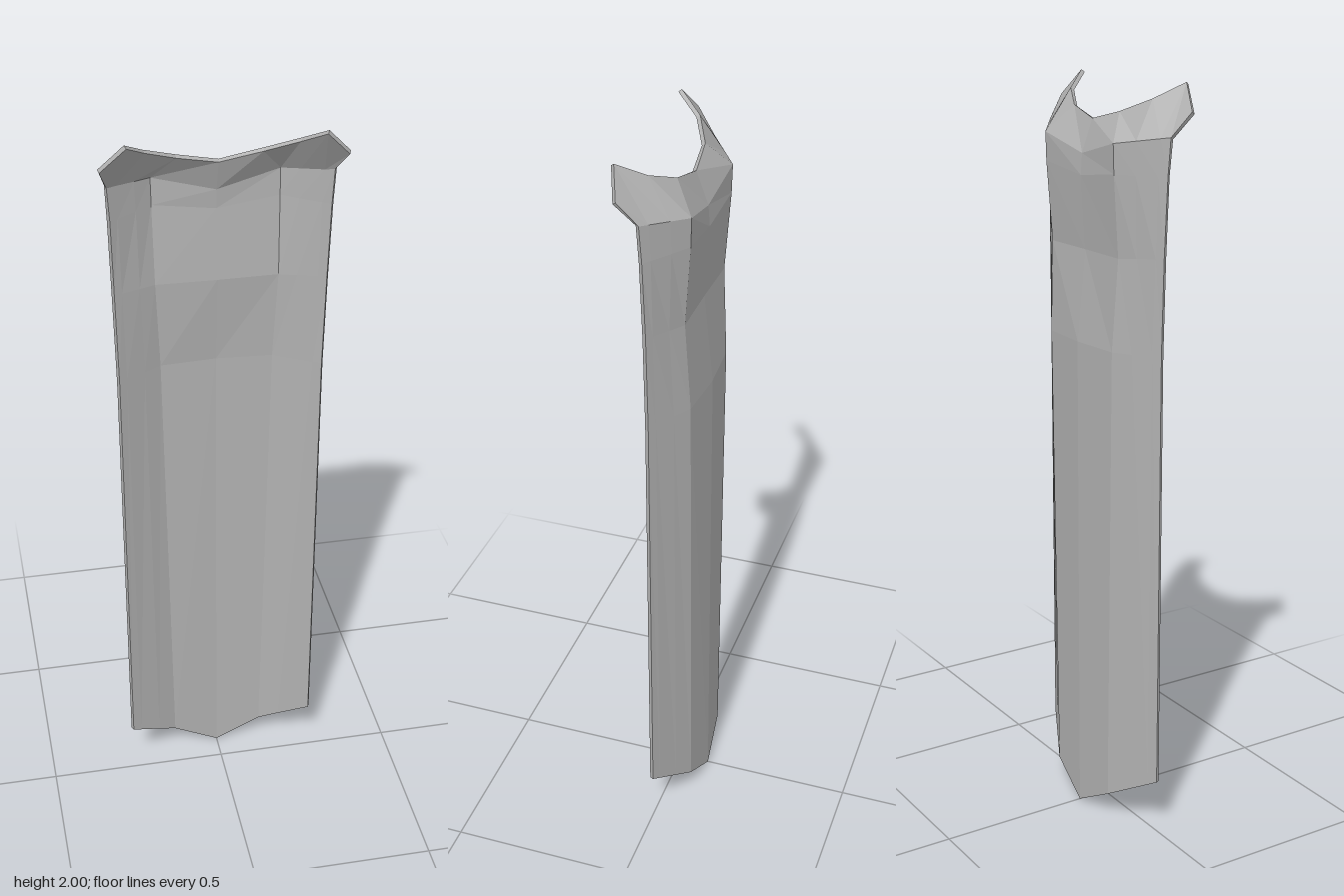
import * as THREE from 'three';

const THICK = 0.011;

// Half cross-sections of the back skin, bottom to top: centre, ridge, edge as [x, y, z]
const SECTIONS = [
  [[0, 0, -0.084], [0.13, 0.072, -0.073], [0.268, 0.15, -0.004]],
  [[0, 1.33, -0.084], [0.15, 1.33, -0.074], [0.27, 1.33, -0.004]],
  [[0, 1.57, -0.06], [0.16, 1.57, -0.062], [0.275, 1.58, -0.002]],
  [[0, 1.76, -0.072], [0.163, 1.78, -0.077], [0.28, 1.78, 0.003]],
  [[0, 1.815, -0.068], [0.163, 1.855, -0.079], [0.284, 1.875, 0.008]],
];
// Flared rim with a horn at the corner, from the centre outwards
const RIM = [[0, 1.9, -0.037], [0.107, 1.925, -0.025], [0.192, 1.96, 0.016], [0.243, 2.0, 0.08], [0.304, 1.935, 0.055]];

// Adds two columns between ridge and edge, so each half has five points
function halfRow([centre, ridge, edge]) {
  const mix = (t) => ridge.map((v, k) => v + (edge[k] - v) * t);
  return [centre, ridge, mix(0.4), mix(0.82), edge];
}

function panelGeometry() {
  const rows = [...SECTIONS.map(halfRow), RIM];
  const cols = 9;
  const count = rows.length * cols;
  const back = [];
  for (const half of rows) {
    for (let i = -4; i <= 4; i++) {
      const [x, y, z] = half[Math.abs(i)];
      back.push(x * Math.sign(i), y, z);
    }
  }

  // Front-facing grid, used for the thickness direction and both skins
  const grid = [];
  for (let j = 0; j < rows.length - 1; j++) {
    for (let i = 0; i < cols - 1; i++) {
      const a = j * cols + i;
      grid.push(a, a + 1, a + cols + 1, a, a + cols + 1, a + cols);
    }
  }
  const skin = new THREE.BufferGeometry();
  skin.setAttribute('position', new THREE.Float32BufferAttribute(back, 3));
  skin.setIndex(grid);
  skin.computeVertexNormals();
  const normals = skin.attributes.normal.array;
  const front = back.map((v, k) => v + normals[k] * THICK);

  const index = [];
  for (let k = 0; k < grid.length; k += 3) {
    index.push(grid[k] + count, grid[k + 1] + count, grid[k + 2] + count);
    index.push(grid[k], grid[k + 2], grid[k + 1]);
  }

  // Thin border around the outline
  const loop = [];
  const last = rows.length - 1;
  for (let i = 0; i < cols - 1; i++) loop.push(i);
  for (let j = 0; j < last; j++) loop.push(j * cols + cols - 1);
  for (let i = cols - 1; i > 0; i--) loop.push(last * cols + i);
  for (let j = last; j > 0; j--) loop.push(j * cols);
  loop.forEach((p, k) => {
    const q = loop[(k + 1) % loop.length];
    index.push(p + count, p, q, p + count, q, q + count);
  });

  const geometry = new THREE.BufferGeometry();
  geometry.setAttribute('position', new THREE.Float32BufferAttribute([...back, ...front], 3));
  geometry.setIndex(index);
  const faceted = geometry.toNonIndexed();
  faceted.computeVertexNormals();
  return faceted;
}

export function createModel() {
  const group = new THREE.Group();
  group.name = 'curvedPanel';
  const grey = new THREE.MeshStandardMaterial({ color: 0xb0b0b0, flatShading: true });
  grey.name = 'grey';
  const panel = new THREE.Mesh(panelGeometry(), grey);
  panel.name = 'flaredPanel';
  group.add(panel);
  return group;
}
